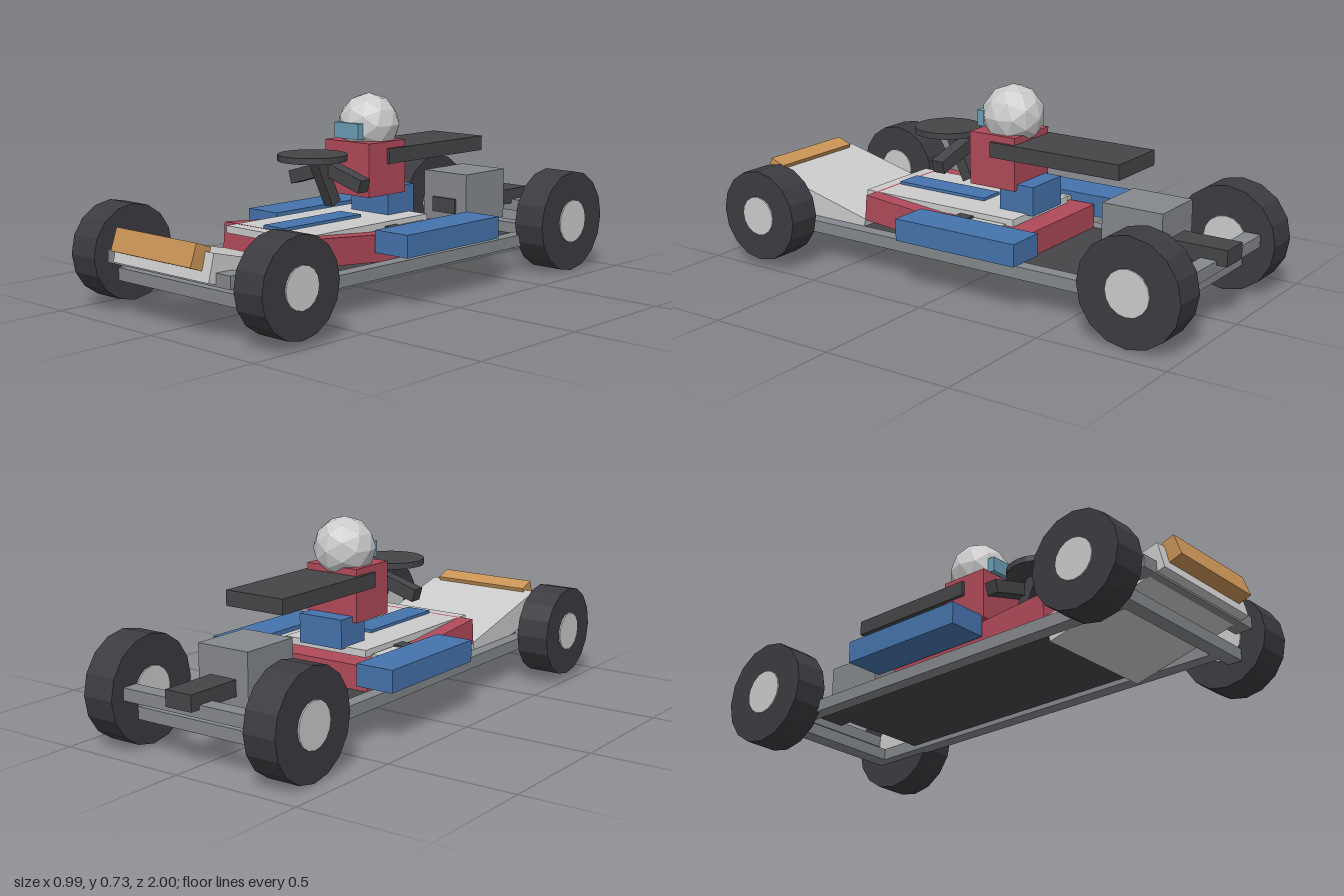
import * as THREE from 'three';

const mat = (color) => new THREE.MeshStandardMaterial({ color, flatShading: true });

export function createModel() {
  const model = new THREE.Group();
  const light = mat(0xcccccc), steel = mat(0x85888c), dark = mat(0x454549), tyre = mat(0x3b3b41);
  const red = mat(0xb04a59), blue = mat(0x4573ac), orange = mat(0xc99355), glass = mat(0x6a9fb8);

  const add = (name, geometry, material, x, y, z) => {
    const mesh = new THREE.Mesh(geometry, material);
    mesh.name = name;
    mesh.position.set(x, y, z);
    model.add(mesh);
    return mesh;
  };
  // size [w, h, d], centre [x, y, z], tilt about x
  const box = (name, material, size, at, tilt = 0) => {
    const mesh = add(name, new THREE.BoxGeometry(...size), material, ...at);
    mesh.rotation.x = tilt;
    return mesh;
  };

  // Chassis frame and floor
  for (const s of [-1, 1]) box('frameRail', steel, [0.055, 0.046, 1.64], [s * 0.273, 0.13, -0.01]);
  box('frontAxleBeam', steel, [0.76, 0.046, 0.056], [0, 0.13, 0.82]);
  box('rearAxleBeam', steel, [0.6, 0.046, 0.063], [0, 0.13, -0.842]);
  box('frontBumperBar', steel, [0.634, 0.046, 0.068], [0, 0.213, 0.892]);
  box('rearBumperBar', steel, [0.62, 0.046, 0.063], [0, 0.213, -0.91]);
  box('floorPan', dark, [0.5, 0.025, 1.14], [0, 0.138, -0.07]);

  // Wheels with protruding hubs
  const wheel = (name, x, z, y, r, hubR) => {
    const group = new THREE.Group();
    group.name = name;
    group.position.set(x, y, z);
    for (const [part, rad, w, m] of [['tyre', r, 0.13, tyre], ['hub', hubR, 0.141, light]]) {
      const mesh = new THREE.Mesh(new THREE.CylinderGeometry(rad, rad, w, 16).rotateZ(Math.PI / 2), m);
      mesh.name = part;
      group.add(mesh);
    }
    model.add(group);
  };
  for (const s of [-1, 1]) {
    wheel('frontWheel', s * 0.425, 0.778, 0.2, 0.175, 0.075);
    wheel('rearWheel', s * 0.353, -0.801, 0.199, 0.199, 0.085);
  }

  // Nose, body and side pods
  box('nosePanel', light, [0.494, 0.1, 0.495], [0, 0.194, 0.705], -0.245);
  box('noseBlock', orange, [0.412, 0.083, 0.066], [0, 0.285, 0.953], -0.34);
  box('frontBody', red, [0.494, 0.1, 0.4], [0, 0.212, 0.25], -0.087);
  box('rearBody', red, [0.494, 0.092, 0.32], [0, 0.198, -0.108]);
  box('deckPanel', light, [0.37, 0.027, 0.68], [0, 0.265, 0.152]);
  box('deckStripe', blue, [0.104, 0.011, 0.4], [0, 0.284, 0.235]);
  box('deckStrap', dark, [0.48, 0.04, 0.06], [0, 0.243, 0.018]);
  for (const s of [-1, 1]) {
    box('sidePad', light, [0.06, 0.02, 0.14], [s * 0.222, 0.25, -0.09]);
    box('sidePod', blue, [0.153, 0.083, 0.518], [s * 0.331, 0.234, -0.083]);
  }

  // Engine block with its long exhaust box
  box('engineBlock', steel, [0.218, 0.2, 0.242], [0, 0.283, -0.636]);
  box('exhaustBox', dark, [0.114, 0.06, 0.475], [0, 0.25, -0.744]);

  // Driver
  box('driverHips', blue, [0.19, 0.11, 0.145], [0, 0.328, -0.142]);
  box('driverTorso', red, [0.224, 0.2, 0.198], [0, 0.46, -0.045]);
  add('helmet', new THREE.IcosahedronGeometry(0.117, 1), light, 0, 0.617, -0.064);
  box('visor', glass, [0.118, 0.059, 0.06], [0, 0.6, 0.029]);
  box('backBoard', dark, [0.25, 0.057, 0.547], [0, 0.506, -0.316]);

  // Steering
  box('steeringColumn', dark, [0.045, 0.185, 0.045], [0, 0.422, 0.173], 0.45);
  add('steeringWheel', new THREE.CylinderGeometry(0.128, 0.128, 0.023, 24), dark, 0, 0.52, 0.237);
  for (const s of [-1, 1]) {
    box('steeringArm', dark, [0.185, 0.05, 0.05], [s * 0.09, 0.447, 0.153]).rotation.z = -s * 0.28;
  }

  return model;
}
